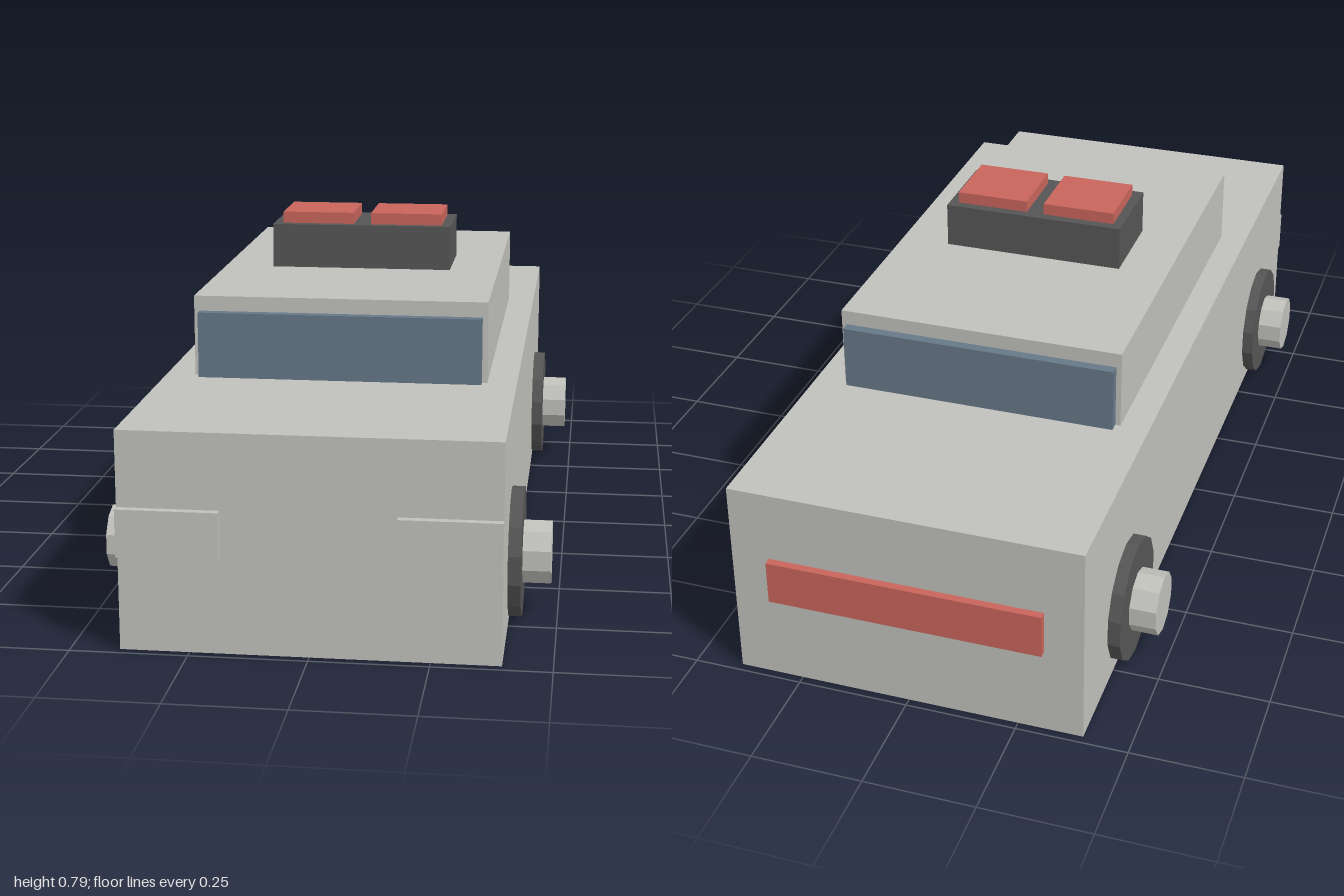
import * as THREE from 'three';

const paint = (name, color) => {
  const m = new THREE.MeshStandardMaterial({ color });
  m.name = name;
  return m;
};

export function createModel() {
  const grey = paint('body grey', 0xc0c0bb);
  const dark = paint('rubber black', 0x555555);
  const red = paint('lamp red', 0xc8655b);
  const blue = paint('window blue', 0x667888);
  const car = new THREE.Group();
  car.name = 'car';

  // Box given by its minimum and maximum corners
  const box = (name, mat, [x0, y0, z0], [x1, y1, z1]) => {
    const mesh = new THREE.Mesh(new THREE.BoxGeometry(x1 - x0, y1 - y0, z1 - z0), mat);
    mesh.position.set((x0 + x1) / 2, (y0 + y1) / 2, (z0 + z1) / 2);
    mesh.name = name;
    car.add(mesh);
  };

  // Faceted disc on the x axis, with a corner pointing straight up
  const disc = (name, mat, radius, sides, x0, x1) => {
    const geo = new THREE.CylinderGeometry(radius, radius, x1 - x0, sides, 1, false, Math.PI / 2)
      .rotateZ(Math.PI / 2).toNonIndexed();
    geo.computeVertexNormals();
    const mesh = new THREE.Mesh(geo, mat);
    mesh.position.x = (x0 + x1) / 2;
    mesh.name = name;
    return mesh;
  };

  // Body and cabin
  box('body', grey, [-0.396, 0.001, -0.982], [0.396, 0.472, 0.982]);
  box('cabin', grey, [-0.33, 0.472, -0.49], [0.33, 0.654, 0.49]);
  box('windscreen', blue, [-0.318, 0.472, 0.49], [0.318, 0.62, 0.513]);
  box('rearWindow', blue, [-0.318, 0.472, -0.513], [0.318, 0.62, -0.49]);

  // Roof light bar and tail lamp
  box('lightBar', dark, [-0.214, 0.654, -0.105], [0.214, 0.758, 0.105]);
  box('tailLamp', red, [-0.309, 0.208, -1], [0.309, 0.309, -0.982]);

  for (const s of [-1, 1]) {
    const side = s > 0 ? 'left' : 'right';
    const span = (a, b) => (s > 0 ? [a, b] : [-b, -a]);

    // Headlamps and roof lenses
    const [h0, h1] = span(0.182, 0.396);
    box(side + 'Headlamp', grey, [h0, 0.207, 0.982], [h1, 0.309, 1]);
    const [l0, l1] = span(0.021, 0.192);
    box(side + 'RoofLens', red, [l0, 0.758, -0.083], [l1, 0.785, 0.083]);

    // Wheels with protruding hubs
    for (const z of [0.664, -0.664]) {
      const wheel = new THREE.Group();
      wheel.name = side + (z > 0 ? 'FrontWheel' : 'RearWheel');
      wheel.add(disc('tyre', dark, 0.142, 14, ...span(0.38, 0.424)));
      wheel.add(disc('hub', grey, 0.071, 10, ...span(0.38, 0.485)));
      wheel.position.set(0, 0.142, z);
      car.add(wheel);
    }
  }
  return car;
}
